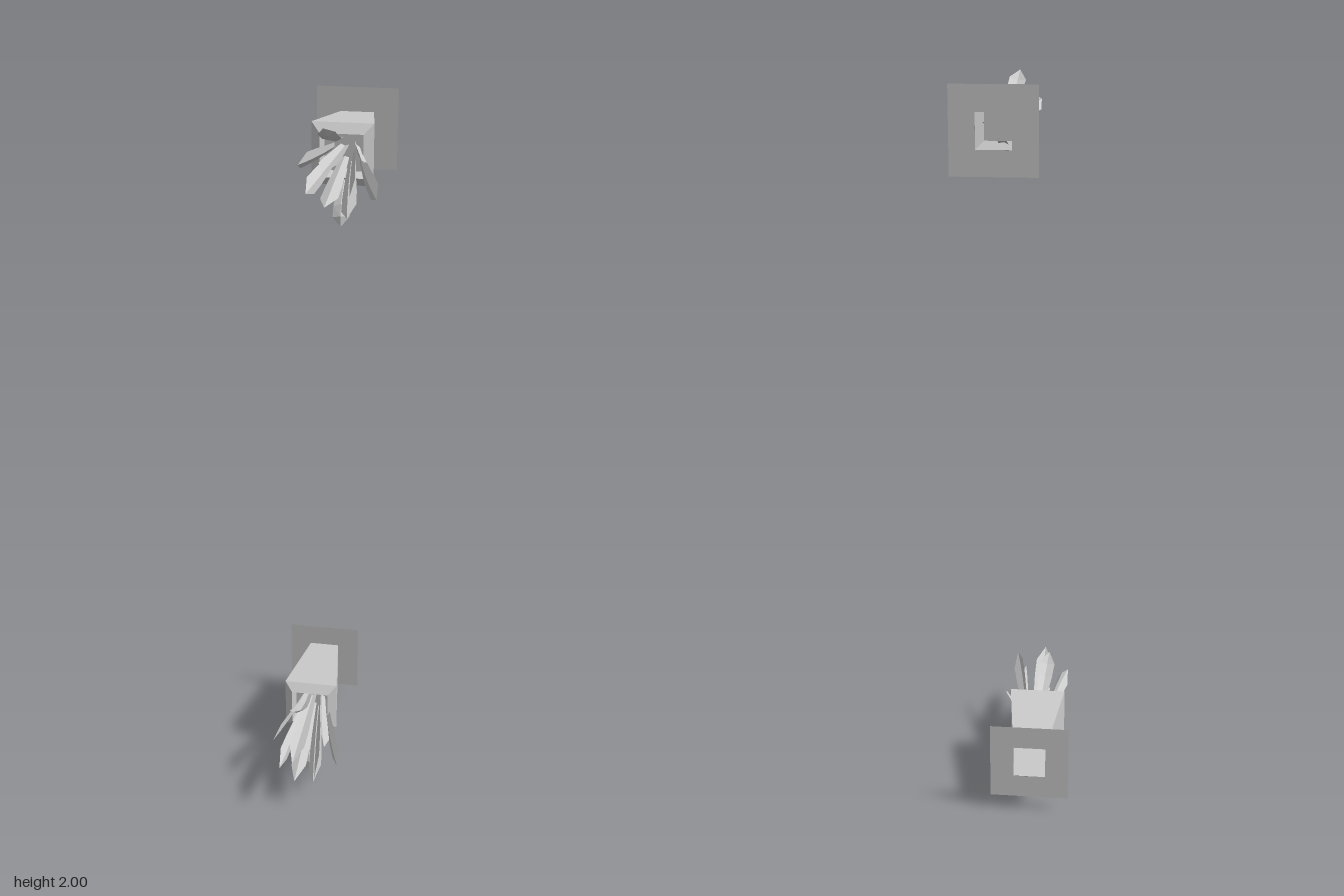
import * as THREE from 'three';

const mat = (flat) => new THREE.MeshStandardMaterial({ color: 0xcccccc, side: THREE.DoubleSide, flatShading: flat });

// Skin a list of cross-sections (arrays of points) into a surface
function skin(sections, closed) {
  const n = sections[0].length;
  const pos = sections.flat().flatMap((p) => [p.x, p.y, p.z]);
  const index = [];
  for (let i = 0; i < sections.length - 1; i++) {
    for (let j = 0; j < (closed ? n : n - 1); j++) {
      const k = (j + 1) % n;
      const a = i * n + j, b = i * n + k, c = a + n, d = b + n;
      index.push(a, b, d, a, d, c);
    }
  }
  const geo = new THREE.BufferGeometry();
  geo.setAttribute('position', new THREE.Float32BufferAttribute(pos, 3));
  geo.setIndex(index);
  geo.computeVertexNormals();
  return geo;
}

function square(half, z) {
  return [[-1, -1], [1, -1], [1, 1], [-1, 1]].map(([x, y]) => new THREE.Vector3(x * half, y * half, z));
}

// Folded pointed leaf swept along a bending path
function leafGeometry(base, bend, tip, width) {
  const curve = new THREE.QuadraticBezierCurve3(base, bend, tip);
  const radial = new THREE.Vector3(tip.x, tip.y, 0).normalize();
  const profile = [[0, 0.5], [0.3, 0.75], [0.55, 0.95], [0.78, 1], [1, 0.01]];
  const sections = profile.map(([t, w]) => {
    const p = curve.getPoint(t);
    const dir = curve.getTangent(t);
    const side = new THREE.Vector3().crossVectors(dir, radial).normalize();
    const up = new THREE.Vector3().crossVectors(side, dir).normalize();
    const half = (width * w) / 2;
    return [-1, 0, 1].map((s) => p.clone().addScaledVector(side, s * half)
      .addScaledVector(up, Math.abs(s) * half * 0.35));
  });
  return skin(sections, false);
}

// Leaf tips relative to the pot axis, with an optional bend point
const LEAVES = [
  { tip: [-0.02, 0.11, 0.15], bend: [-0.01, 0.045, 0.09] },
  { tip: [0.085, 0.06, 0.235] },
  { tip: [0.003, 0.045, 0.305] },
  { tip: [0.064, -0.015, 0.285] },
  { tip: [0.115, -0.05, 0.18] },
  { tip: [-0.075, 0.03, 0.19] },
  { tip: [-0.045, -0.02, 0.255] },
  { tip: [0.05, -0.085, 0.225] },
  { tip: [0.003, -0.045, 0.275] },
  { tip: [0.015, -0.15, 0.09], bend: [0.012, -0.09, 0.1] },
];

function createPlanter() {
  const planter = new THREE.Group();
  const add = (name, geo, flat = true) => {
    const mesh = new THREE.Mesh(geo, mat(flat));
    mesh.name = name;
    planter.add(mesh);
    return mesh;
  };

  // Thin square mounting plate with a square opening
  const toPath = (half) => square(half, 0).map((p) => new THREE.Vector2(p.x, p.y));
  const plate = new THREE.Shape(toPath(0.11));
  plate.holes.push(new THREE.Path(toPath(0.045)));
  add('mountingPlate', new THREE.ShapeGeometry(plate)).position.z = -0.305;

  // Tapered pot with a bevelled rim turning inwards
  const rings = [[0.045, -0.304], [0.08, -0.038], [0.056, -0.017], [0.052, -0.07]];
  add('pot', skin(rings.map(([h, z]) => square(h, z)), true));

  // Surface the leaves grow from
  add('soil', new THREE.PlaneGeometry(0.104, 0.104)).position.z = -0.07;

  LEAVES.forEach(({ tip, bend }) => {
    const end = new THREE.Vector3(...tip);
    const base = new THREE.Vector3(end.x * 0.35, end.y * 0.3, -0.07);
    const mid = bend ? new THREE.Vector3(...bend)
      : new THREE.Vector3(end.x * 0.62, end.y * 0.62, end.z * 0.4);
    add('leaf', leafGeometry(base, mid, end, 0.044));
  });
  return planter;
}

export function createModel() {
  const model = new THREE.Group();
  model.name = 'wallPlanters';
  [['upperPlanter', 0.042, 1.89], ['lowerPlanter', -0.047, 0.152]].forEach(([name, x, y]) => {
    const planter = createPlanter();
    planter.name = name;
    planter.position.set(x, y, 0);
    model.add(planter);
  });
  return model;
}
